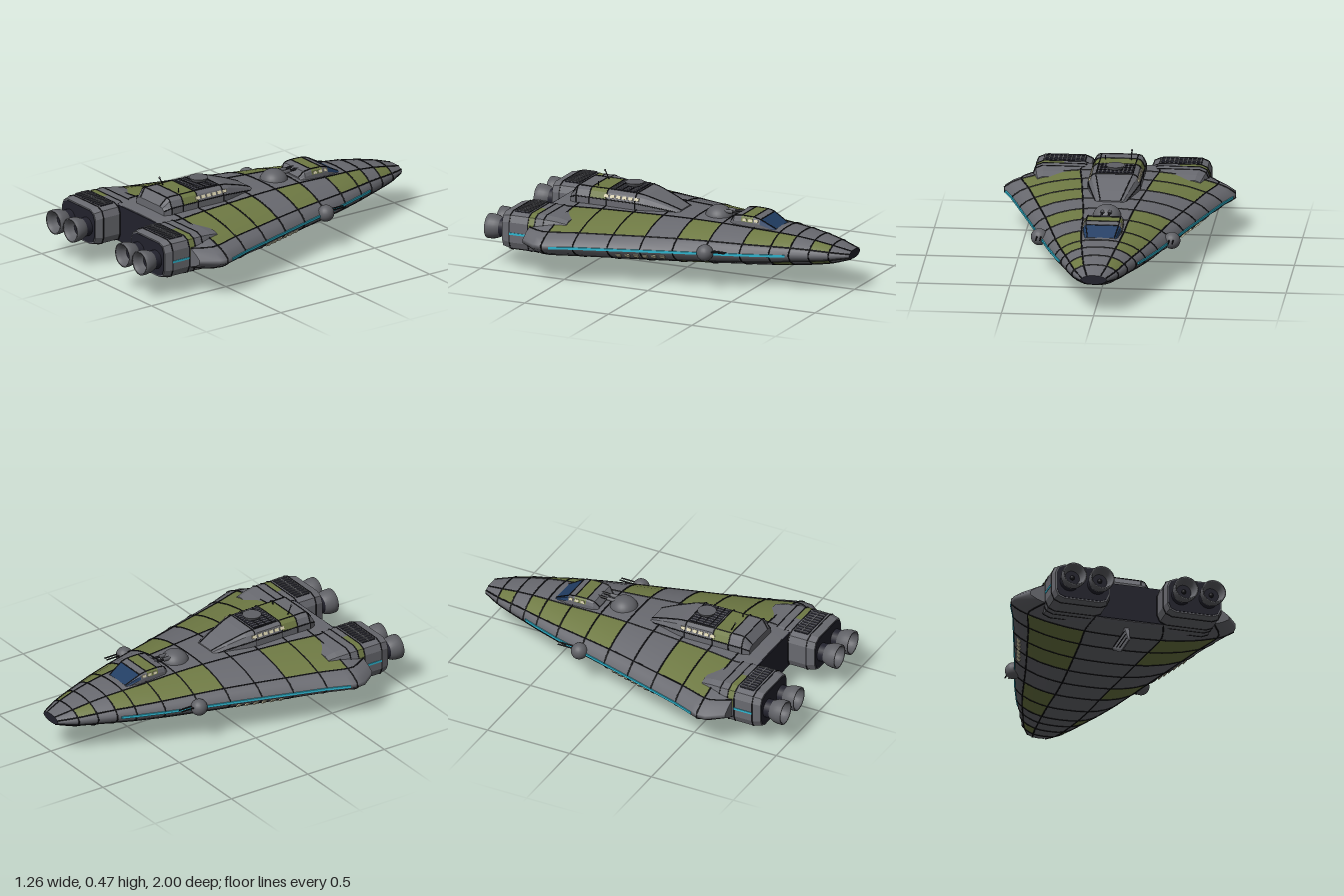
import * as THREE from 'three';

const V = (x, y, z) => new THREE.Vector3(x, y, z);
const mat = (name, color) => Object.assign(new THREE.MeshStandardMaterial({ color }), { name });

// Palette indices
const GREY = 0, GREEN = 1, DARK = 2, LINE = 3, CYAN = 4, GLASS = 5, PALE = 6, METAL = 7;

// Hull stations: z, half width, top, bottom
const STATIONS = [
  [-1, .07, .228, .178], [-.9, .125, .258, .147], [-.8, .165, .28, .131], [-.7, .203, .295, .12],
  [-.6, .243, .304, .111], [-.45, .296, .312, .101], [-.27, .352, .32, .092], [-.1, .403, .326, .085],
  [.07, .456, .33, .08], [.24, .51, .331, .077], [.42, .567, .332, .076], [.54, .615, .331, .078],
  [.58, .628, .33, .08], [.63, .625, .328, .085], [.72, .56, .322, .108]];
const HALF = [1, .93, .85, .68, .5, .34, .17];
const ACROSS = [...HALF, 0, ...HALF.map(f => -f).reverse()];
const MID = .203;

// Point on the hull at fraction f of the half width; columns spread outwards near the nose
function hullPoint(z, f, side) {
  let i = 0;
  while (i < STATIONS.length - 2 && STATIONS[i + 1][0] < z) i++;
  const a = STATIONS[i], b = STATIONS[i + 1], k = (z - a[0]) / (b[0] - a[0]);
  const [w, t, d] = [1, 2, 3].map(n => a[n] + (b[n] - a[n]) * k);
  const spread = Math.pow(Math.abs(f), Math.min(1, .6 + .5 * (z + 1)));
  const g = .1 + .9 * Math.pow(1 - Math.pow(spread, 2.5), .75);
  return V(Math.sign(f) * spread * w, MID + ((side > 0 ? t : d) - MID) * g, z);
}
const hullRing = z => [
  ...ACROSS.map(f => hullPoint(z, f, 1)), ...[...ACROSS].reverse().map(f => hullPoint(z, f, -1))];

// Skin closed rings running towards +z; paint(i, j) picks a colour for each panel
function loft(rings, paint, smooth = false) {
  const n = rings[0].length, faces = {}, verts = rings.flat();
  const add = (m, ...ids) => (faces[m] ??= []).push(...ids);
  for (let i = 0; i < rings.length - 1; i++) for (let j = 0; j < n; j++) {
    const a = i * n + j, b = i * n + (j + 1) % n;
    add(paint(i, j), a, b, b + n, a, b + n, a + n);
  }
  const first = verts.length, last = first + n;
  verts.push(...rings[0], ...rings[rings.length - 1]);
  for (let j = 1; j < n - 1; j++) {
    add(paint(-1, j), first, first + j + 1, first + j);
    add(paint(rings.length, j), last, last + j, last + j + 1);
  }
  let geo = new THREE.BufferGeometry().setFromPoints(verts);
  const index = [];
  for (const m in faces) { geo.addGroup(index.length, faces[m].length, +m); index.push(...faces[m]); }
  geo.setIndex(index);
  if (!smooth) geo = geo.toNonIndexed();
  geo.computeVertexNormals();
  return geo;
}

// Rectangle with rounded corners; the first four sides are the upper +x quarter
function podRing(cx, cy, w, h, c, z) {
  const q = [[w, 0], [w, h - c], [w - c * .3, h - c * .3], [w - c, h]];
  const turn = [...q, [0, h], ...q.slice(1).reverse().map(([x, y]) => [-x, y])];
  return [...turn, ...turn.map(([x, y]) => [-x, -y])].map(([x, y]) => V(cx + x, cy + y, z));
}
// Cabin section with two-step shoulders; k is the roof width ratio
function cabinRing([z, w, y, h], k, base) {
  const side = [[w, base], [w, y], [w * (.6 + .4 * k), h - (h - y) * .3], [w * k, h]];
  return [...side, ...side.map(([x, v]) => [-x, v]).reverse()].map(([x, v]) => V(x, v, z));
}

export function createModel() {
  const mats = [mat('hullGrey', 0x696a70), mat('olivePaint', 0x6f7a44), mat('darkRecess', 0x22222d),
    mat('panelLine', 0x19191d), mat('cyanLight', 0x2fb8d2), mat('blueGlass', 0x213d63),
    mat('windowLight', 0xd6cfae), mat('gunMetal', 0x606166)];
  const root = new THREE.Group();
  const mesh = (name, geo, m, x = 0, y = 0, z = 0) => {
    const o = new THREE.Mesh(geo, m === undefined ? mats : mats[m]);
    o.name = name;
    o.position.set(x, y, z);
    root.add(o);
    return o;
  };
  const box = (name, m, w, h, d, x, y, z) => mesh(name, new THREE.BoxGeometry(w, h, d), m, x, y, z);
  const rod = (name, m, a, b, r) => mesh(name, new THREE.TubeGeometry(new THREE.LineCurve3(a, b), 1, r, 8), m);
  const tube = (name, m, pts, r, closed = false) => mesh(name, new THREE.TubeGeometry(
    new THREE.CatmullRomCurve3(pts, closed, 'catmullrom', .3), pts.length * 3, r, 5, closed), m);

  // Hull with olive patches in the middle panel columns, chosen by station index
  const olive = {
    topLeft: [1, 3, 4, 6, 8, 9, 10, 11], topRight: [1, 3, 4, 5, 6, 9, 10, 11],
    bottomLeft: [1, 3, 6, 9, 10, 11], bottomRight: [1, 4, 5, 8, 9, 10, 11] };
  mesh('hull', loft(STATIONS.map(s => hullRing(s[0])), (i, j) => {
    if (i < 0) return DARK;
    if (j === 14 || j === 29) return GREY;
    const top = j < 14, col = top ? j : 28 - j;
    const f = (ACROSS[col] + ACROSS[col + 1]) / 2;
    if (Math.abs(f) < .34 || Math.abs(f) > .85) return GREY;
    return olive[(top ? 'top' : 'bottom') + (f > 0 ? 'Left' : 'Right')].includes(i) ? GREEN : GREY;
  }, true));

  // Panel seams around and along the hull
  for (const [z] of STATIONS) if (z !== .54 && z !== .63 && z > -1 && z < .72) tube('crossSeam', LINE, hullRing(z), .004, true);
  for (const side of [1, -1]) for (const f of [-.85, -.34, .34, .85])
    tube('longSeam', LINE, STATIONS.map(s => hullPoint(s[0], f, side)), .004);

  // Light strips along the edges and small windows below them
  for (const s of [1, -1]) {
    const edge = [-.68, ...STATIONS.map(q => q[0]).filter(z => z > -.68 && z < .56)].map(z => hullPoint(z, s, 1).setY(MID));
    for (let i = 0; i < edge.length - 1; i++) {
      const c = edge[i].clone().lerp(edge[i + 1], .5);
      box('edgeLight', CYAN, .009, .013, edge[i].distanceTo(edge[i + 1]) + .002, c.x + s * .002, c.y, c.z).lookAt(
        edge[i + 1].clone().setX(edge[i + 1].x + s * .002));
    }
    for (let i = 0; i < 6; i++) {
      const p = hullPoint(-.04 + i * .046, s * .95, -1);
      box('lowerWindow', PALE, .026, .007, .028, p.x, p.y, p.z).rotation.z = s * .85;
    }
  }
  box('sternPanel', DARK, .4, .205, .008, 0, .215, .722);

  // Engine nacelles
  const bell = [[.046, 0], [.054, .012], [.064, .035], [.068, .06], [.068, .085], [.058, .085], [.05, .06], [.04, .025]]
    .map(([r, y]) => new THREE.Vector2(r, y));
  for (const s of [1, -1]) {
    const cx = s * .315;
    const sections = [[.515, .138, .086, .04], [.57, .152, .1, .05], [.64, .163, .108, .052], [.69, .163, .108, .052],
      [.73, .163, .108, .052], [.84, .163, .108, .052], [.887, .153, .1, .05]];
    mesh('nacelle', loft(sections.map(([z, w, h, c]) => podRing(cx, .217, w, h, c, z)),
      (i, j) => i === 3 && (s > 0 ? j < 4 : j > 3 && j < 8) ? GREEN : GREY));
    mesh('nacelleRear', loft([.884, .89].map(z => podRing(cx, .217, .146, .093, .046, z)), () => DARK));
    for (const [z, w, h, c] of sections.slice(2, 6))
      mesh('nacelleSeam', loft([z - .003, z + .003].map(q => podRing(cx, .217, w + .002, h + .002, c, q)), () => LINE));
    box('nacelleLight', CYAN, .006, .012, .11, s * .478, .21, .785);

    // Cooling grille
    box('grilleBed', DARK, .23, .006, .085, cx, .326, .785);
    for (let i = 0; i < 10; i++) box('grilleBar', METAL, .009, .008, .085, cx - .108 + i * .024, .329, .785);
    box('grilleRail', METAL, .23, .008, .008, cx, .33, .785);

    // Paired thrusters
    for (const x of [.237, .392]) {
      const neck = mesh('thrusterNeck', new THREE.CylinderGeometry(.052, .052, .05, 24), DARK, s * x, .213, .905);
      const nozzle = mesh('thrusterBell', new THREE.LatheGeometry(bell, 28), METAL, s * x, .213, .915);
      neck.rotation.x = nozzle.rotation.x = Math.PI / 2;
      mesh('thrusterThroat', new THREE.CircleGeometry(.046, 24), DARK, s * x, .213, .945);
      mesh('thrusterHub', new THREE.SphereGeometry(.013, 12, 8), LINE, s * x, .213, .947);
    }

    // Side gun blisters
    mesh('sideTurret', new THREE.SphereGeometry(.046, 20, 14), METAL, s * .36, .21, -.275);
    for (const x of [.348, .37]) rod('sideBarrel', LINE, V(s * x, .222, -.3), V(s * x, .222, -.4), .004);
  }

  // Upper deck house
  const deck = [[.01, .078, .322, .335], [.09, .102, .338, .366], [.2, .132, .357, .402], [.25, .142, .364, .411],
    [.42, .142, .365, .415], [.52, .142, .365, .415], [.6, .142, .365, .415], [.64, .125, .35, .37]];
  mesh('deckHouse', loft(deck.map(d => cabinRing(d, .7, .28)),
    (i, j) => i === 4 && j > 0 && j < 6 ? GREEN : GREY));
  for (const s of [1, -1]) {
    for (const [k, up] of [[1, 2], [.7, 3]])
      tube('deckSeam', LINE, deck.map(d => V(s * d[1] * k, d[up], d[0])), .003);
    for (let i = 0; i < 6; i++)
      box('deckWindow', PALE, .008, .017, .026, s * .1335, .3835, .2 + .04 + i * .036).rotation.z = s * .45;
  }
  for (const d of deck.slice(3, 7)) tube('deckRib', LINE, cabinRing(d, .7, .33), .003);
  box('deckGrille', DARK, .19, .006, .15, 0, .415, .335);
  for (let i = 0; i < 9; i++) box('deckGrilleBar', METAL, .008, .008, .15, -.088 + i * .022, .416, .335);
  for (const z of [.3, .34, .38]) box('deckGrilleRail', LINE, .19, .009, .006, 0, .417, z);

  // Sensor dish and masts
  mesh('dishStem', new THREE.CylinderGeometry(.025, .03, .02, 16), DARK, 0, .42, .315);
  mesh('dish', new THREE.CylinderGeometry(.052, .042, .018, 24), METAL, 0, .433, .315);
  rod('mast', LINE, V(-.07, .41, .5), V(-.07, .462, .525), .003);
  mesh('mastTip', new THREE.SphereGeometry(.006, 8, 6), METAL, -.07, .462, .525);
  rod('shortMast', LINE, V(.07, .41, .5), V(.07, .44, .5), .003);

  // Cockpit with wraparound windshield
  const cockpit = [[-.565, .086, .296, .305], [-.48, .104, .325, .351], [-.44, .106, .331, .361],
    [-.37, .106, .333, .363], [-.325, .104, .33, .356], [-.3, .09, .312, .325]];
  mesh('cockpit', loft(cockpit.map(c => cabinRing(c, .85, .26)), (i, j) => {
    if (j < 1 || j > 5) return GREY;
    return i === 0 ? GLASS : i === 2 ? GREEN : GREY;
  }));
  for (const s of [1, -1]) {
    tube('cockpitSeam', LINE, cockpit.map(c => V(s * c[1] * .85, c[3], c[0])), .003);
    for (const z of [-.46, -.425, -.39]) box('cockpitWindow', PALE, .006, .014, .022, s * .103, .342, z).rotation.z = s * .27;
  }
  for (const [z, w, , h] of cockpit.slice(1, 4)) rod('cockpitRib', LINE, V(-w * .85, h, z), V(w * .85, h, z), .003);

  // Dorsal gun turret
  const dome = mesh('dorsalTurret', new THREE.SphereGeometry(.077, 28, 12, 0, Math.PI * 2, 0, Math.PI / 2), METAL, 0, .31, -.19);
  dome.scale.y = .85;
  for (const x of [-.02, .02]) {
    rod('dorsalBarrel', LINE, V(x, .35, -.22), V(x, .352, -.35), .007);
    rod('barrelSleeve', METAL, V(x, .35, -.23), V(x, .351, -.28), .011);
  }

  // Keel fin, thinner towards its lower edge; rings run upwards
  const finRing = (y, z0, z1, t) => [V(t, y, z1), V(t, y, z0 + .03), V(0, y, z0), V(-t, y, z0 + .03), V(-t, y, z1)];
  mesh('keelFin', loft([finRing(0, .55, .712, .004), finRing(.1, .36, .66, .014)], () => GREY));
  for (const s of [1, -1]) for (const k of [.25, .5, .75])
    rod('finSlat', LINE, V(s * (.004 + .01 * k), k * .1, .6 - .19 * k), V(s * (.004 + .01 * k), k * .1, .7 - .05 * k), .003);

  return root;
}
